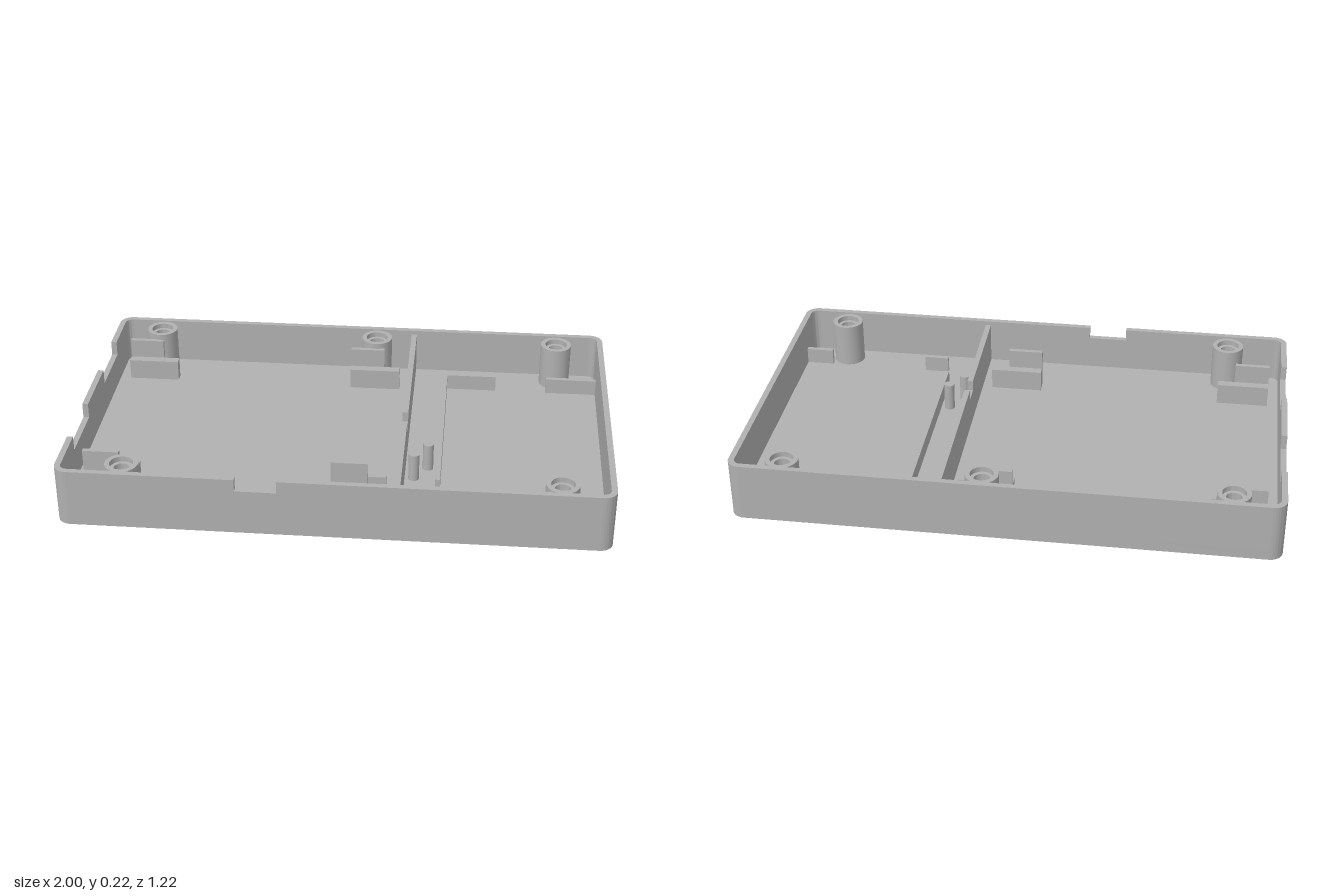
import * as THREE from 'three';
import { toCreasedNormals } from 'three/addons/utils/BufferGeometryUtils.js';

const HX = 1, HZ = 0.612;            // half length and half width
const TOP = 0.222, FLOOR = 0.043;    // rim height and floor thickness
const WALL = 0.022, R = 0.05;        // wall thickness and corner radius

export function createModel() {
  const model = new THREE.Group();
  model.name = 'enclosureTray';
  const grey = new THREE.MeshStandardMaterial({ color: 0xb0b0b0 });
  grey.name = 'grey plastic';

  const add = (name, geometry, x = 0, y = 0, z = 0) => {
    const mesh = new THREE.Mesh(geometry, grey);
    mesh.name = name;
    mesh.position.set(x, y, z);
    model.add(mesh);
    return mesh;
  };
  const extrude = (shape, depth) => toCreasedNormals(
    new THREE.ExtrudeGeometry(shape, { depth, bevelEnabled: false, curveSegments: 12 }), 0.6);

  // Box standing on the floor, given by its x range, z range and top
  const rib = (name, x0, x1, z0, z1, top) => add(name,
    new THREE.BoxGeometry(x1 - x0, top - FLOOR, z1 - z0),
    (x0 + x1) / 2, (top + FLOOR) / 2, (z0 + z1) / 2);

  // Upright wall from a to b with notches [start, end, bottom] in its top edge
  const wallGeometry = (a, b, top, notches = []) => {
    const s = new THREE.Shape();
    s.moveTo(a, FLOOR);
    s.lineTo(b, FLOOR);
    s.lineTo(b, top);
    for (const [n0, n1, y] of [...notches].reverse()) {
      s.lineTo(n1, top);
      s.lineTo(n1, y);
      s.lineTo(n0, y);
      s.lineTo(n0, top);
    }
    s.lineTo(a, top);
    return extrude(s, WALL);
  };

  // Floor slab with rounded corners
  const slab = new THREE.Shape();
  const cx = HX - R, cz = HZ - R;
  slab.absarc(cx, cz, R, 0, Math.PI / 2);
  slab.absarc(-cx, cz, R, Math.PI / 2, Math.PI);
  slab.absarc(-cx, -cz, R, Math.PI, Math.PI * 1.5);
  slab.absarc(cx, -cz, R, Math.PI * 1.5, Math.PI * 2);
  add('floor', extrude(slab, FLOOR).rotateX(-Math.PI / 2));

  // Outer walls, with connector cut-outs in the front and right ones
  add('frontWall', wallGeometry(-cx, cx, TOP, [[-0.345, -0.195, 0.175]]), 0, 0, HZ - WALL);
  add('backWall', wallGeometry(-cx, cx, TOP), 0, 0, -HZ);
  const ports = [[-0.38, -0.14, 0.165], [0.13, 0.37, 0.165]];
  add('leftWall', wallGeometry(-cz, cz, TOP).rotateY(-Math.PI / 2), HX);
  add('rightWall', wallGeometry(-cz, cz, TOP, ports).rotateY(-Math.PI / 2), -HX + WALL);

  // Rounded wall corners
  const quarter = new THREE.Shape();
  quarter.absarc(0, 0, R, 0, Math.PI / 2);
  quarter.absarc(0, 0, R - WALL, Math.PI / 2, 0, true);
  const cornerGeometry = extrude(quarter, TOP - FLOOR).rotateX(-Math.PI / 2);
  [[1, -1], [-1, -1], [-1, 1], [1, 1]].forEach(([sx, sz], i) => {
    add('wallCorner', cornerGeometry, sx * cx, FLOOR, sz * cz).rotation.y = i * Math.PI / 2;
  });

  // Divider between the two compartments, with a cable notch
  add('divider', wallGeometry(-HZ + WALL, HZ - WALL, 0.205, [[0.055, 0.125, 0.165]])
    .rotateY(-Math.PI / 2), 0.241);

  // Screw bosses with a counterbored hole
  const bossTop = 0.217;
  const bossProfile = [
    [0.061, FLOOR], [0.061, bossTop], [0.043, bossTop], [0.043, bossTop - 0.02],
    [0.029, bossTop - 0.02], [0.029, FLOOR + 0.01], [0, FLOOR + 0.01],
  ].map(([x, y]) => new THREE.Vector2(x, y));
  const bossGeometry = toCreasedNormals(new THREE.LatheGeometry(bossProfile, 32), 0.6);
  for (const [x, z] of [[-0.815, -0.53], [0.08, -0.53], [0.812, -0.53], [-0.765, 0.526], [0.812, 0.526]]) {
    add('screwBoss', bossGeometry, x, 0, z);
  }

  // Circuit board holders: a low thick ledge and a tall thin stop behind it
  for (const x of [-0.935, -0.02]) {
    rib('boardLedge', x, x + 0.2, -0.445, -0.41, 0.125);
    rib('boardStop', x, x + 0.135, -0.473, -0.455, 0.195);
    rib('boardLedge', x, x + 0.2, 0.362, 0.396, 0.125);
    rib('boardStop', x, x + 0.135, 0.404, 0.422, 0.195);
  }

  // Low ribs framing the battery bay
  const low = 0.105;
  rib('bayRib', 0.358, 0.376, -0.435, 0.362, low);
  rib('bayRib', 0.376, 0.573, -0.452, -0.434, low);
  rib('bayRib', 0.776, HX - WALL, -0.452, -0.434, low);
  rib('bayRib', 0.38, 0.476, 0.463, 0.481, low);
  rib('bayRib', 0.87, HX - WALL, 0.463, 0.481, low);

  // Cable pins
  const pinGeometry = new THREE.CylinderGeometry(0.02, 0.02, 0.15 - FLOOR, 20);
  for (const [x, z] of [[0.325, 0.185], [0.275, 0.262]]) {
    add('cablePin', pinGeometry, x, (0.15 + FLOOR) / 2, z);
  }

  return model;
}
